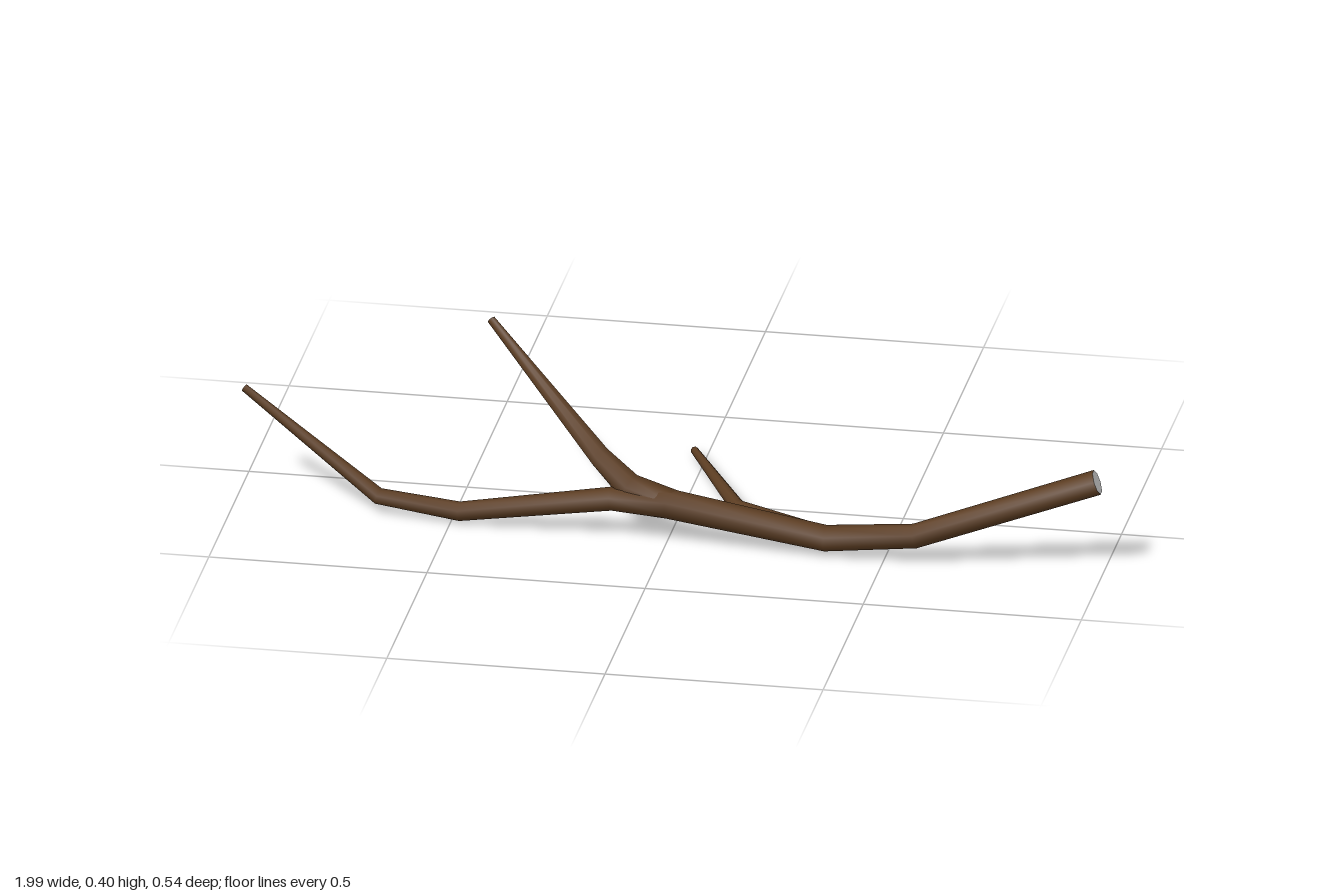
import * as THREE from 'three';

const bark = new THREE.MeshStandardMaterial({ color: 0x5c3d22 });
bark.name = 'brown bark';
const cutWood = new THREE.MeshStandardMaterial({ color: 0xe6e6e6 });
cutWood.name = 'pale cut wood';
const SIDES = 8;

// Octagonal limb swept along a path of [x, y, z, radius]
function makeLimb(name, path, capStart) {
  const pts = path.map(p => new THREE.Vector3(p[0], p[1], p[2]));
  const up = new THREE.Vector3(0, 1, 0);
  const last = pts.length - 1;
  const dir = i => pts[i + 1].clone().sub(pts[i]).normalize();
  const rings = pts.map((p, i) => {
    const t = new THREE.Vector3();
    if (i > 0) t.add(dir(i - 1));
    if (i < last) t.add(dir(i));
    t.normalize();
    const side = new THREE.Vector3().crossVectors(up, t).normalize();
    const top = new THREE.Vector3().crossVectors(t, side);
    return Array.from({ length: SIDES }, (_, k) => {
      const a = (k + 0.5) / SIDES * Math.PI * 2;
      return p.clone()
        .addScaledVector(side, Math.cos(a) * path[i][3])
        .addScaledVector(top, Math.sin(a) * path[i][3]);
    });
  });

  const build = (verts, index) => {
    const g = new THREE.BufferGeometry().setFromPoints(verts);
    g.setIndex(index);
    g.computeVertexNormals();
    return g;
  };
  const index = [];
  for (let i = 0; i < last; i++) {
    for (let k = 0; k < SIDES; k++) {
      const n = (k + 1) % SIDES;
      const a = i * SIDES + k, b = i * SIDES + n;
      index.push(a, b, b + SIDES, a, b + SIDES, a + SIDES);
    }
  }
  const limb = new THREE.Group();
  limb.name = name;
  const skin = new THREE.Mesh(build(rings.flat(), index), bark);
  skin.name = name + 'Bark';
  limb.add(skin);

  // Flat cut ends
  const addCap = (ring, flip, label) => {
    const f = [];
    for (let k = 1; k < SIDES - 1; k++) f.push(...(flip ? [0, k + 1, k] : [0, k, k + 1]));
    const cap = new THREE.Mesh(build(ring, f), cutWood);
    cap.name = name + label;
    limb.add(cap);
  };
  if (capStart) addCap(rings[0], true, 'CutEnd');
  addCap(rings[last], false, 'Tip');
  return limb;
}

export function createModel() {
  const model = new THREE.Group();
  model.name = 'branch';

  // Main stem, thick cut end to thin tip
  model.add(makeLimb('mainStem', [
    [0.985, 0.222, 0.22, 0.029],
    [0.57, 0.066, 0.238, 0.028],
    [0.365, 0.045, 0.238, 0.03],
    [0, 0.095, 0.222, 0.034],
    [-0.13, 0.094, 0.215, 0.027],
    [-0.48, 0.031, 0.203, 0.022],
    [-0.67, 0.045, 0.182, 0.019],
    [-0.995, 0.245, 0.085, 0.009],
  ], true));

  // Rising rear twig
  model.add(makeLimb('upperTwig', [
    [0.02, 0.092, 0.222, 0.033],
    [-0.09, 0.118, 0.2, 0.033],
    [-0.165, 0.172, 0.163, 0.026],
    [-0.452, 0.4, -0.042, 0.01],
  ]));

  // Low rear twig
  model.add(makeLimb('lowerTwig', [
    [0.38, 0.042, 0.234, 0.026],
    [0.3, 0.036, 0.18, 0.024],
    [0.13, 0.02, 0.045, 0.018],
    [-0.028, 0.018, -0.268, 0.009],
  ]));
  return model;
}
